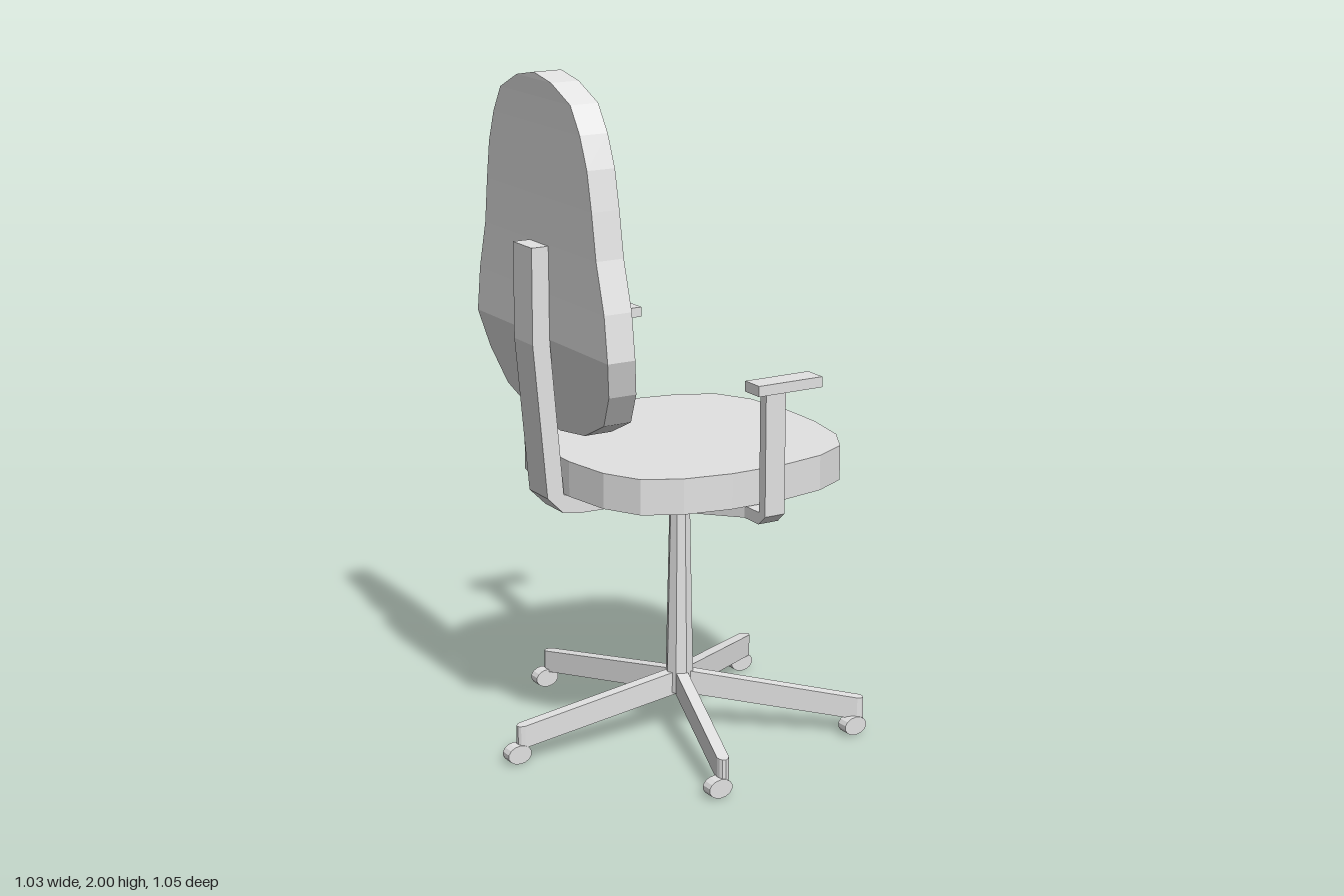
import * as THREE from 'three';

const CX = 0.068; // x of the column axis

// Flat-faced solid through a list of equal rings (counterclockwise seen from the last one)
function loft(rings) {
  const pos = [], n = rings[0].length;
  const tri = (a, b, c) => pos.push(...a, ...b, ...c);
  for (let i = 0; i < rings.length - 1; i++) {
    const a = rings[i], b = rings[i + 1];
    for (let j = 0; j < n; j++) {
      const k = (j + 1) % n;
      tri(a[j], a[k], b[k]);
      tri(a[j], b[k], b[j]);
    }
  }
  const s = rings[0], e = rings[rings.length - 1];
  for (let j = 1; j < n - 1; j++) {
    tri(s[0], s[j + 1], s[j]);
    tri(e[0], e[j], e[j + 1]);
  }
  const g = new THREE.BufferGeometry();
  g.setAttribute('position', new THREE.Float32BufferAttribute(pos, 3));
  g.computeVertexNormals();
  return g;
}

function faceted(geometry) {
  const g = geometry.toNonIndexed();
  g.computeVertexNormals();
  return g;
}

function extrude(points, depth) {
  const shape = new THREE.Shape(points.map(([x, y]) => new THREE.Vector2(x, y)));
  return new THREE.ExtrudeGeometry(shape, { depth, bevelEnabled: false });
}

export function createModel() {
  const chair = new THREE.Group();
  chair.name = 'officeChair';
  const grey = new THREE.MeshStandardMaterial({ color: 0xe2e2e2 });
  grey.name = 'lightGrey';
  const add = (name, geometry, x = 0, y = 0, z = 0) => {
    const mesh = new THREE.Mesh(geometry, grey);
    mesh.name = name;
    mesh.position.set(x, y, z);
    chair.add(mesh);
    return mesh;
  };

  // Seat cushion: one quadrant of the outline mirrored into four
  const quarter = [[0.415, 0.08], [0.39, 0.23], [0.332, 0.335], [0.226, 0.39], [0.085, 0.416]];
  const half = [...quarter, ...quarter.map(([x, z]) => [-x, z]).reverse()];
  const outline = [...half, ...half.map(([x, z]) => [x, -z]).reverse()];
  add('seat', extrude(outline, 0.103).rotateX(-Math.PI / 2), 0.07, 0.805);

  // Backrest: rows of height, half width and rear x
  const rows = [
    [0.977, 0, -0.328], [0.998, 0.15, -0.333], [1.058, 0.28, -0.346], [1.155, 0.345, -0.367],
    [1.26, 0.378, -0.389], [1.39, 0.36, -0.389], [1.53, 0.32, -0.39], [1.66, 0.301, -0.392],
    [1.77, 0.281, -0.394], [1.86, 0.247, -0.396], [1.935, 0.2, -0.398], [1.982, 0.098, -0.4],
    [2.0, 0, -0.4],
  ];
  add('backrest', loft(rows.map(([y, w, x]) =>
    [[x, y, -w], [x, y, w], [x + 0.086, y, w], [x + 0.086, y, -w]])));

  // Bent bar that carries the backrest
  add('backSupport', extrude([
    [0, 0.737], [-0.3, 0.742], [-0.35, 0.75], [-0.4, 0.8], [-0.442, 1.25], [-0.442, 1.525],
    [-0.388, 1.525], [-0.388, 1.25], [-0.348, 0.803], [0, 0.803],
  ], 0.108), 0, 0, -0.054);

  // Crossbar under the seat: wide in the middle, narrow and level at the arms
  const bar = [
    [-0.505, 0.032, 0.797, 0.81], [-0.472, 0.032, 0.768, 0.803],
    [-0.4, 0.032, 0.768, 0.803], [-0.14, 0.14, 0.735, 0.803],
  ];
  const bars = [...bar, ...bar.map(([z, ...rest]) => [-z, ...rest]).reverse()];
  add('crossbar', loft(bars.map(([z, w, y0, y1]) =>
    [[CX - w, y0, z], [CX + w, y0, z], [CX + w, y1, z], [CX - w, y1, z]])));

  // Arm posts and pads
  for (const s of [-1, 1]) {
    add('armPost', new THREE.BoxGeometry(0.064, 0.365, 0.03), CX, 0.9825, s * 0.49);
    add('armPad', new THREE.BoxGeometry(0.207, 0.03, 0.07), 0.1035, 1.165, s * 0.489);
  }

  // Column
  add('column', faceted(new THREE.CylinderGeometry(0.03, 0.043, 0.62, 8)), CX, 0.43);

  // Five sloping legs with rounded tips, and oval casters all rolling along x
  const legGeometry = loft([
    [0, 0.0175, 0.117, 0.188], [0.53, 0.0175, 0.048, 0.115],
    [0.541, 0.0125, 0.047, 0.114], [0.547, 0.005, 0.046, 0.113],
  ].map(([x, w, y0, y1]) => [[x, y0, -w], [x, y1, -w], [x, y1, w], [x, y0, w]]));
  const casterGeometry = faceted(new THREE.CylinderGeometry(1, 1, 0.037, 14)
    .rotateX(Math.PI / 2).scale(0.038, 0.028, 1));
  for (let i = 0; i < 5; i++) {
    const a = Math.PI + i * Math.PI * 2 / 5;
    add('leg', legGeometry, CX).rotation.y = -a;
    add('caster', casterGeometry, CX - 0.018 + 0.53 * Math.cos(a), 0.03, 0.532 * Math.sin(a));
  }
  return chair;
}
